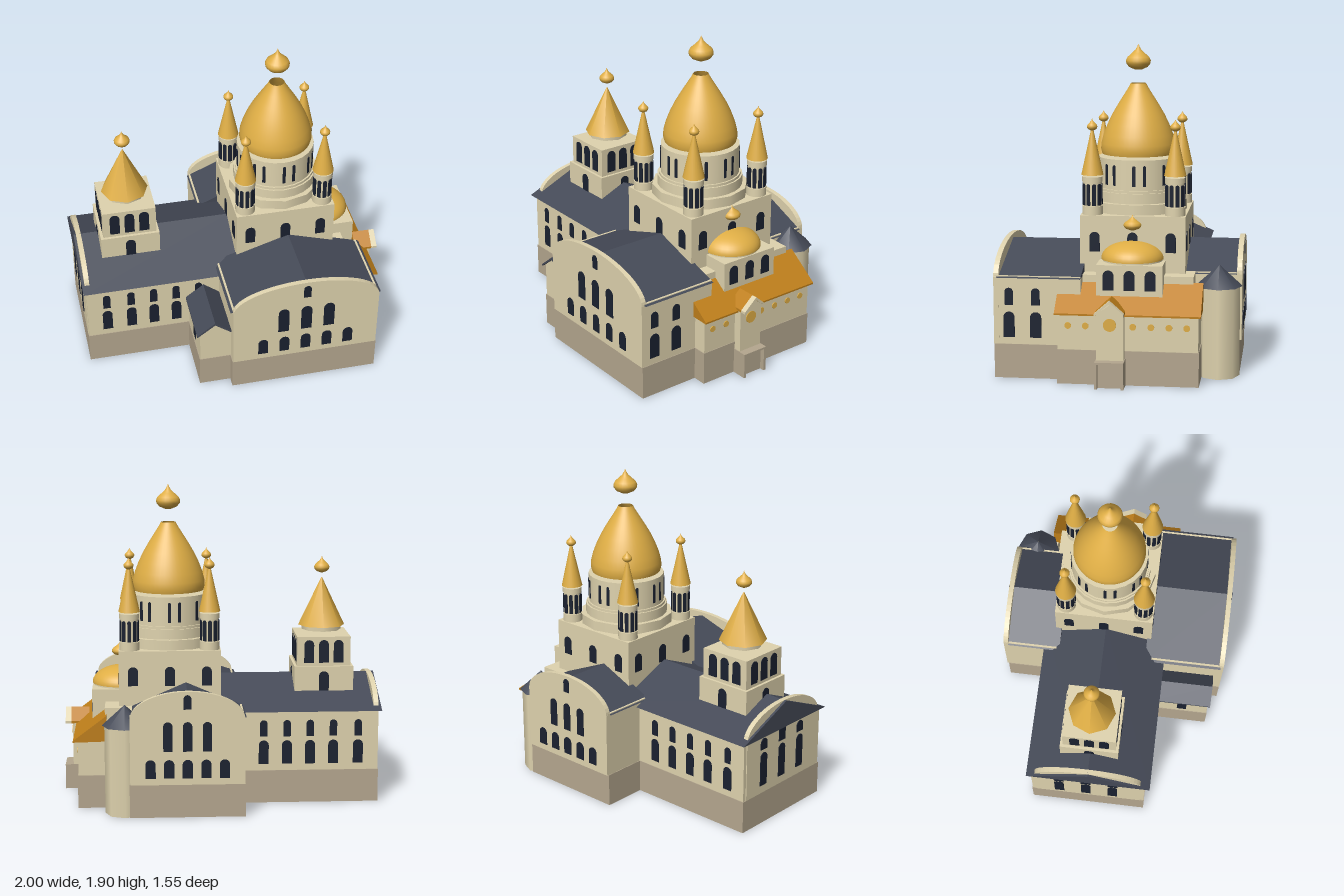
import * as THREE from 'three';

const paint = (color) => new THREE.MeshStandardMaterial({ color, side: THREE.DoubleSide });
const STONE = paint(0xdfd3ae), BASE = paint(0xb5a78f), SLATE = paint(0x454a57);
const GLASS = paint(0x1a2130), GOLD = paint(0xdfae45), BRONZE = paint(0xbf7f1a);
const v2 = (x, y) => new THREE.Vector2(x, y);

export function createModel() {
  const model = new THREE.Group();
  const church = new THREE.Group();
  church.name = 'church';
  church.position.set(0.327, 0, -0.093);
  church.rotation.y = Math.PI / 12;
  model.add(church);

  function add(name, geo, mat, x = 0, y = 0, z = 0, ry = 0) {
    const m = new THREE.Mesh(geo, mat);
    m.name = name;
    m.position.set(x, y, z);
    m.rotation.y = ry;
    church.add(m);
    return m;
  }

  // Box given by its extents
  const block = (name, mat, x0, x1, y0, y1, z0, z1) =>
    add(name, new THREE.BoxGeometry(x1 - x0, y1 - y0, z1 - z0), mat, (x0 + x1) / 2, (y0 + y1) / 2, (z0 + z1) / 2);

  const extrude = (shape, depth) => new THREE.ExtrudeGeometry(shape, { depth, bevelEnabled: false, curveSegments: 12 });

  // Four hollow walls, open below and above
  function walls(name, mat, x0, x1, y0, y1, z0, z1) {
    const rect = (d) => [v2(x0 + d, -z0 - d), v2(x1 - d, -z0 - d), v2(x1 - d, -z1 + d), v2(x0 + d, -z1 + d)];
    const ring = new THREE.Shape(rect(0));
    ring.holes.push(new THREE.Path(rect(0.012)));
    add(name, extrude(ring, y1 - y0).rotateX(-Math.PI / 2), mat, 0, y0, 0);
  }

  // Stone walls on a plinth
  function wing(name, x0, x1, top, z0, z1) {
    walls(name + 'Walls', STONE, x0, x1, 0.2, top, z0, z1);
    walls(name + 'Plinth', BASE, x0 - 0.004, x1 + 0.004, 0, 0.2, z0 - 0.004, z1 + 0.004);
  }

  // Hollow walls with a flat roof slab
  function room(name, x0, x1, y0, y1, z0, z1) {
    walls(name + 'Walls', STONE, x0, x1, y0, y1 - 0.01, z0, z1);
    block(name + 'Top', STONE, x0, x1, y1 - 0.01, y1, z0, z1);
  }

  // Gable roof: triangle across, extruded along its ridge
  const gable = (name, mat, half, eave, ridge, length, x, z, ry = 0) =>
    add(name, extrude(new THREE.Shape([v2(-half, eave), v2(half, eave), v2(0, ridge)]), length), mat, x, 0, z, ry);

  // Round-topped gable wall
  function archedFacade(name, half, spring, rise, x, z, ry) {
    const s = new THREE.Shape();
    s.moveTo(-half, 0.2);
    s.lineTo(half, 0.2);
    s.lineTo(half, spring);
    s.absellipse(0, spring, half, rise, 0, Math.PI, false);
    add(name, extrude(s, 0.03), STONE, x, 0, z, ry);
  }

  // Round-headed windows on a wall: rows of [offset, bottom, top, width]
  function windows(name, list, dist, ry, cx = 0, cz = 0) {
    const g = new THREE.Group();
    g.name = name;
    g.position.set(cx, 0, cz);
    g.rotation.y = ry;
    for (const [x, y0, y1, w] of list) {
      const r = w / 2, s = new THREE.Shape();
      s.moveTo(-r, y0);
      s.lineTo(r, y0);
      s.lineTo(r, y1 - r);
      s.absarc(0, y1 - r, r, 0, Math.PI, false);
      const m = new THREE.Mesh(extrude(s, 0.006), GLASS);
      m.name = 'window';
      m.position.set(x, 0, dist - 0.003);
      g.add(m);
    }
    church.add(g);
  }

  const lathe = (name, mat, pts, x, z, sides = 32) =>
    add(name, new THREE.LatheGeometry(pts.map((p) => v2(...p)), sides), mat, x, 0, z);
  const cyl = (name, mat, rt, rb, y0, y1, x, z, sides = 32, open = false) =>
    add(name, new THREE.CylinderGeometry(rt, rb, y1 - y0, sides, 1, open), mat, x, (y0 + y1) / 2, z);

  // Small onion finial
  const ONION = [[0.3, 0], [0.75, 0.1], [0.97, 0.23], [1, 0.35], [0.88, 0.48], [0.55, 0.62], [0.25, 0.76], [0.1, 0.88], [0, 1]];
  const onion = (name, r, y0, y1, x, z) =>
    lathe(name, GOLD, ONION.map(([a, b]) => [a * r + 0.0001, y0 + b * (y1 - y0)]), x, z, 24);

  const Q = Math.PI / 2;

  // Nave
  wing('nave', -1.25, -0.3, 0.575, -0.345, 0.37);
  gable('naveRoof', SLATE, 0.387, 0.565, 0.73, 0.98, -1.27, 0.015, Q);
  archedFacade('westFacade', 0.335, 0.565, 0.165, -1.225, 0.012, -Q);
  const naveWindows = [-1.13, -0.98, -0.84, -0.7, -0.56].flatMap((x) => [[x, 0.24, 0.385, 0.06], [x, 0.41, 0.51, 0.045]]);
  windows('naveFrontWindows', naveWindows, 0.37, 0);
  windows('naveBackWindows', naveWindows.map(([x, ...r]) => [-x, ...r]), 0.345, Math.PI);
  windows('westWindows', [-0.17, 0, 0.17].flatMap((x) => [[x, 0.25, 0.46, 0.06], [x, 0.48, x ? 0.55 : 0.61, 0.06]]), 1.256, -Q);

  // Bell tower over the nave
  const tx = -0.94, tz = 0.007;
  block('towerLower', STONE, tx - 0.18, tx + 0.18, 0.57, 0.8, tz - 0.18, tz + 0.18);
  block('towerUpper', STONE, tx - 0.163, tx + 0.163, 0.8, 0.98, tz - 0.163, tz + 0.163);
  for (let i = 0; i < 4; i++) {
    windows('belfryWindows', [-0.09, 0, 0.09].map((x) => [x, 0.82, 0.96, 0.06]), 0.163, i * Q, tx, tz);
    windows('towerWindow', [[0, 0.65, 0.77, 0.06]], 0.18, i * Q, tx, tz);
  }
  cyl('spireCollar', STONE, 0.122, 0.122, 1.003, 1.03, tx, tz, 8);
  cyl('towerSpire', GOLD, 0.002, 0.143, 1.03, 1.325, tx, tz, 8);
  onion('towerFinial', 0.047, 1.355, 1.455, tx, tz);

  // Front and back transepts with arched gables
  const facadeWindows = (c, k) => [
    ...[-2, -1, 0, 1, 2].map((i) => [c + i * 0.132 * k, 0.24, 0.35, 0.06]),
    ...[-1, 0, 1].map((i) => [c + i * 0.14 * k, 0.4, 0.575, 0.066 * k]),
    [c, 0.65, 0.735, 0.045],
  ];
  wing('frontTransept', -0.43, 0.465, 0.6, 0.28, 0.778);
  gable('frontTranseptRoof', SLATE, 0.463, 0.59, 0.74, 0.485, 0.018, 0.28);
  archedFacade('frontFacade', 0.448, 0.59, 0.172, 0.018, 0.754, 0);
  windows('frontFacadeWindows', facadeWindows(0.018, 1), 0.785, 0);
  windows('transeptEastWindows', [0.54, 0.695].flatMap((x) => [[-x, 0.24, 0.39, 0.065], [-x, 0.43, 0.53, 0.05]]), 0.465, Q);
  wing('backTransept', -0.43, 0.24, 0.6, -0.615, -0.28);
  gable('backTranseptRoof', SLATE, 0.345, 0.59, 0.74, 0.33, -0.095, -0.6);
  archedFacade('backFacade', 0.335, 0.59, 0.165, -0.095, -0.6, Math.PI);
  windows('backFacadeWindows', facadeWindows(0.095, 0.82), 0.631, Math.PI);

  // Polygonal stair turret at the back corner
  cyl('stairTurret', STONE, 0.12, 0.12, 0, 0.535, 0.27, -0.5, 8, true);
  cyl('stairTurretRoof', SLATE, 0.002, 0.135, 0.53, 0.65, 0.27, -0.5, 8, true);

  // Side porch beside the front transept
  wing('sidePorch', -0.62, -0.42, 0.41, 0.35, 0.715);
  gable('sidePorchGable', STONE, 0.1, 0.405, 0.475, 0.36, -0.53, 0.355);
  for (const s of [-1, 1]) {
    const slab = new THREE.Shape([v2(0, 0.492), v2(s * 0.11, 0.405), v2(s * 0.11, 0.393), v2(0, 0.476)]);
    add('sidePorchRoof', extrude(slab, 0.37), SLATE, -0.53, 0, 0.36);
  }
  windows('sidePorchWindow', [[0.55, 0.24, 0.36, 0.06]], 0.62, -Q);

  // Central block and stepped drum
  const B = 0.305;
  room('centralBlock', -B, B, 0.2, 0.93, -B, B);
  for (let i = 0; i < 4; i++) windows('centralWindows', [-0.22, 0, 0.22].map((x) => [x, 0.72, 0.835, 0.06]), B, i * Q);
  cyl('drumStep', STONE, 0.288, 0.288, 0.93, 0.99, 0, 0, 12);
  cyl('drumFoot', STONE, 0.255, 0.255, 0.99, 1.05, 0, 0, 24);
  cyl('drumBand', STONE, 0.245, 0.245, 1.05, 1.065, 0, 0, 24);
  cyl('drum', STONE, 0.235, 0.235, 1.065, 1.242, 0, 0, 24);
  for (let i = 0; i < 24; i++) {
    if (i % 3 < 2) windows('drumWindow', [[0, 1.09, 1.21, 0.018]], 0.235, i * Math.PI / 12);
  }

  // Main dome, open at the crown, with floating finial
  lathe('mainDome', GOLD, [[0.213, 1.258], [0.22, 1.285], [0.218, 1.32], [0.205, 1.37], [0.182, 1.43], [0.153, 1.49],
    [0.118, 1.55], [0.08, 1.61], [0.058, 1.645], [0.045, 1.67]], 0, 0, 48);
  onion('mainFinial', 0.073, 1.75, 1.9, 0, 0);

  // Four corner turrets
  for (const x of [-0.24, 0.24]) for (const z of [-0.24, 0.24]) {
    cyl('turretFoot', STONE, 0.06, 0.06, 0.93, 0.98, x, z, 20);
    cyl('turretShaft', STONE, 0.054, 0.054, 0.98, 1.12, x, z, 20);
    cyl('turretCornice', STONE, 0.06, 0.06, 1.12, 1.15, x, z, 20);
    for (let i = 0; i < 10; i++) windows('turretWindow', [[0, 0.985, 1.11, 0.022]], 0.055, i * Math.PI / 5, x, z);
    cyl('turretSpire', GOLD, 0.008, 0.064, 1.16, 1.415, x, z, 24);
    onion('turretFinial', 0.03, 1.415, 1.485, x, z);
  }

  // East end: choir, apse box and low dome
  room('choir', 0.2, 0.39, 0.2, 0.6, -0.36, 0.36);
  room('apse', 0.25, 0.47, 0.4, 0.675, -0.19, 0.19);
  windows('apseWindows', [-0.12, 0, 0.12].map((x) => [x, 0.53, 0.645, 0.062]), 0.47, Q);
  const dome = add('apseDome', new THREE.SphereGeometry(0.182, 32, 12, 0, Math.PI * 2, 0, Q), GOLD, 0.29, 0.685, 0);
  dome.scale.y = 0.57;
  cyl('apseDomeRim', STONE, 0.175, 0.175, 0.67, 0.685, 0.29, 0);
  onion('apseFinial', 0.052, 0.85, 0.94, 0.3, 0);

  // Sanctuary with lean-to roof and gold medallions
  wing('sanctuary', 0.2, 0.55, 0.42, -0.4, 0.4);
  const lean = new THREE.Shape([v2(0.38, 0.565), v2(0.38, 0.41), v2(0.58, 0.405), v2(0.58, 0.415)]);
  add('sanctuaryRoof', extrude(lean, 0.83), BRONZE, 0, 0, -0.415);
  const medallion = (r, x, y, z) => add('medallion', new THREE.CylinderGeometry(r, r, 0.008, 20).rotateZ(Q), GOLD, x, y, z);
  for (const z of [0.34, 0.24, -0.03, -0.133, -0.235, -0.335]) medallion(0.019, 0.551, 0.34, z);

  // East porch: portal, doorway and pediment
  const pz = 0.095;
  block('porchWall', STONE, 0.54, 0.6, 0.15, 0.43, pz - 0.078, pz + 0.078);
  medallion(0.037, 0.601, 0.36, pz);
  for (const s of [-1, 1]) block('portalJamb', BASE, 0.54, 0.65, 0, 0.15, pz + s * 0.075 - 0.008, pz + s * 0.075 + 0.008);
  block('portalLintel', BASE, 0.54, 0.65, 0.143, 0.155, pz - 0.083, pz + 0.083);
  block('portalDoor', BASE, 0.54, 0.62, 0, 0.145, pz - 0.07, pz + 0.07);
  gable('porchPediment', STONE, 0.075, 0.425, 0.48, 0.1, 0.53, pz, Q);
  for (const s of [-1, 1]) {
    const slab = new THREE.Shape([v2(0, 0.505), v2(s * 0.083, 0.432), v2(s * 0.083, 0.418), v2(0, 0.487)]);
    add('porchRoof', extrude(slab, 0.11), BRONZE, 0.5, 0, pz, Q);
    add('pedimentRake', extrude(slab, 0.035), STONE, 0.61, 0, pz, Q);
  }

  return model;
}
